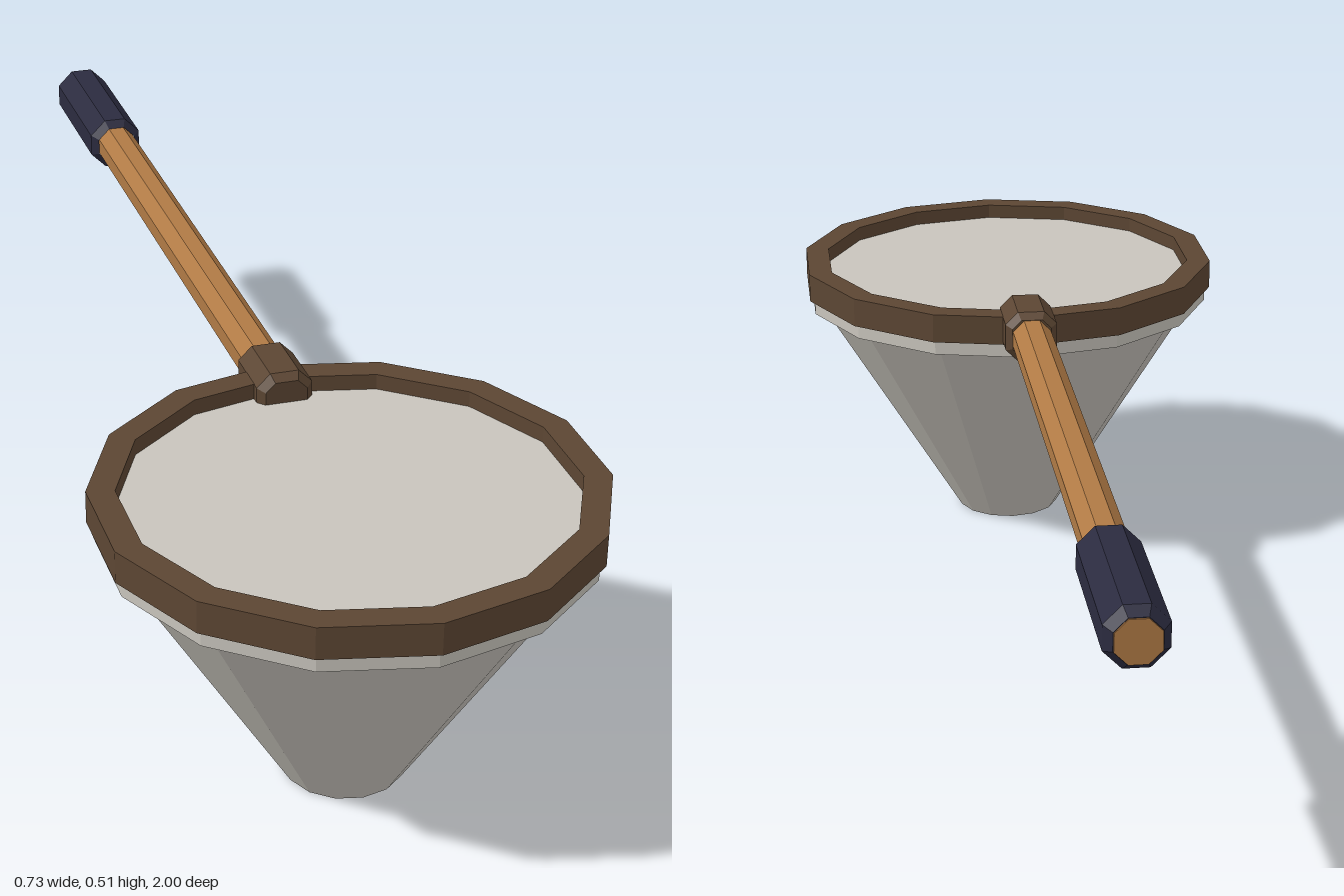
import * as THREE from 'three';

const material = (name, color) => {
  const m = new THREE.MeshStandardMaterial({ color });
  m.name = name;
  m.flatShading = true;
  return m;
};

// Faceted solid of revolution from [radius, height] pairs
const turned = (points, sides, start = 0) =>
  new THREE.LatheGeometry(points.map(([r, y]) => new THREE.Vector2(r, y)), sides, start);

export function createModel() {
  const metal = material('pale metal', 0xc8c4bc);
  const brown = material('dark brown', 0x5c4633);
  const wood = material('wood', 0xb07a45);
  const grip = material('navy grip', 0x2b2b3f);

  const model = new THREE.Group();
  model.name = 'longHandledCone';
  const add = (name, geometry, mat, y, z) => {
    const mesh = new THREE.Mesh(geometry, mat);
    mesh.name = name;
    mesh.position.set(0, y, z);
    model.add(mesh);
    return mesh;
  };

  const bowlZ = 0.625, handleY = 0.462;

  // Closed cone with a collar and a flat top
  add('cone', turned([[0, 0], [0.092, 0], [0.344, 0.41], [0.366, 0.41], [0.366, 0.46], [0, 0.46]], 14),
    metal, 0, bowlZ);

  // Rim around the top
  add('rim', turned([[0.375, 0.435], [0.375, 0.485], [0.333, 0.485], [0.333, 0.435], [0.375, 0.435]], 14),
    brown, 0, bowlZ);

  // Eight-sided shaft and grip, turned upright then laid back along -z
  const shaft = turned([[0, -0.24], [0.035, -0.24], [0.035, 1], [0, 1]], 8, Math.PI / 8);
  const sleeve = turned([[0.036, 0.71], [0.049, 0.722], [0.049, 0.982], [0.036, 0.997], [0, 0.997]], 8, Math.PI / 8);
  for (const g of [shaft, sleeve]) g.rotateX(-Math.PI / 2);
  add('handle', shaft, wood, handleY, 0);
  add('grip', sleeve, grip, handleY, 0);

  // Chamfered clamp joining the handle to the rim
  const a = 0.033, c = 0.018;
  const outline = new THREE.Shape([
    [a, -c], [a, c], [c, a], [-c, a], [-a, c], [-a, -c], [-c, -a], [c, -a],
  ].map(([x, y]) => new THREE.Vector2(x, y)));
  const clamp = new THREE.ExtrudeGeometry(outline, {
    depth: 0.096, bevelEnabled: true, bevelThickness: 0.012, bevelSize: 0.011, bevelSegments: 1,
  });
  add('clamp', clamp, brown, handleY, 0.219);

  return model;
}
